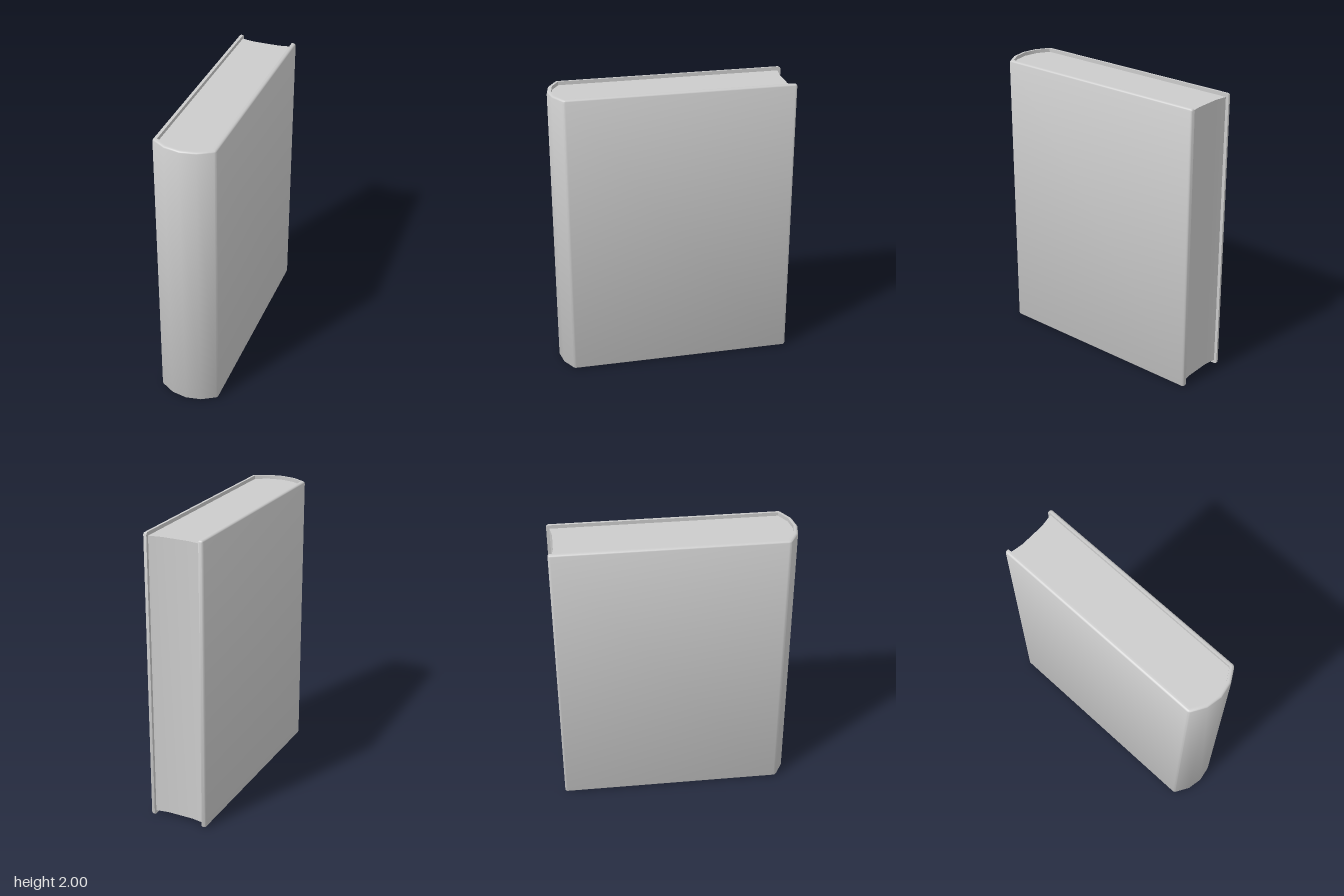
import * as THREE from 'three';
import { toCreasedNormals } from 'three/addons/utils/BufferGeometryUtils.js';

const HEIGHT = 2, BACK = -0.816;
const HALF = 0.18;                 // half thickness of the page block
const THICK = 0.029, ROUND = 0.017; // cover board and its edge rounding
const ARC_R = 0.275, ARC_Z = 0.512, ARC_A = Math.asin(HALF / ARC_R);
const INSET = 0.025;               // pages sit below the cover edges
const CREASE = 0.7;

// Point on the rounded spine, with its outward direction
function spinePoint(a) {
  const nx = Math.sin(a), nz = Math.cos(a);
  return { x: ARC_R * nx, z: ARC_Z + ARC_R * nz, nx, nz, rho: ROUND };
}

// Stations along the U of the cover: left board, spine, right board
function coverStations() {
  const half = [];
  const steps = 4;
  // rounded fore edge of the board
  for (let i = 0; i <= steps; i++) {
    const a = (1 - i / steps) * Math.PI / 2;
    half.push({ x: HALF, z: BACK + ROUND * (1 - Math.sin(a)), nx: 1, nz: 0, rho: ROUND * Math.cos(a) });
  }
  // rounded joint between board and spine
  const corner = spinePoint(ARC_A);
  for (let i = 0; i < steps; i++) {
    const a = THREE.MathUtils.lerp(Math.PI / 2, ARC_A, i / steps);
    half.push({ ...corner, nx: Math.sin(a), nz: Math.cos(a) });
  }
  half.push(corner, spinePoint(ARC_A / 2));
  const mirrored = half.map(s => ({ ...s, x: -s.x, nx: -s.nx })).reverse();
  return [...half, spinePoint(0), ...mirrored];
}

// Board cross-section: square inside, rounded outside
function boardSection(rho) {
  const ring = [[0, ROUND - rho]], steps = 4;
  for (const top of [0, 1]) {
    for (let i = 0; i <= steps; i++) {
      const a = ((top ? 0 : -1) + i / steps) * Math.PI / 2;
      const cy = top ? HEIGHT - ROUND : ROUND;
      ring.push([THICK - ROUND + rho * Math.cos(a), cy + rho * Math.sin(a)]);
    }
  }
  ring.push([0, HEIGHT - ROUND + rho]);
  return ring;
}

function coverGeometry() {
  const stations = coverStations(), pos = [], idx = [];
  const m = boardSection(ROUND).length, last = (stations.length - 1) * m;
  stations.forEach((s, i) => {
    for (const [d, y] of boardSection(s.rho)) pos.push(s.x + s.nx * d, y, s.z + s.nz * d);
    if (i === stations.length - 1) return;
    for (let j = 0; j < m; j++) {
      const a = i * m + j, b = i * m + (j + 1) % m;
      idx.push(a, b, b + m, a, b + m, a + m);
    }
  });
  // flat end faces at the fore edges
  for (let j = 1; j < m - 1; j++) {
    idx.push(0, j + 1, j, last, last + j, last + j + 1);
  }
  const geo = new THREE.BufferGeometry();
  geo.setAttribute('position', new THREE.Float32BufferAttribute(pos, 3));
  geo.setIndex(idx);
  return toCreasedNormals(geo, CREASE);
}

// Page block: rounded at the spine, hollowed at the fore edge
function pagesGeometry() {
  const outline = [[-HALF, -0.795], [-0.09, -0.78], [0.09, -0.78], [HALF, -0.795]]
    .map(([x, z]) => new THREE.Vector2(x, z));
  for (let i = 0; i <= 4; i++) {
    const p = spinePoint(ARC_A * (1 - i / 2));
    outline.push(new THREE.Vector2(p.x, p.z));
  }
  const geo = new THREE.ExtrudeGeometry(new THREE.Shape(outline), {
    depth: HEIGHT - 2 * INSET, bevelEnabled: false,
  });
  geo.rotateX(Math.PI / 2).translate(0, HEIGHT - INSET, 0);
  return toCreasedNormals(geo, CREASE);
}

export function createModel() {
  const book = new THREE.Group();
  book.name = 'book';
  const material = new THREE.MeshStandardMaterial({ color: 0xcccccc });
  const add = (name, geometry) => {
    const mesh = new THREE.Mesh(geometry, material);
    mesh.name = name;
    book.add(mesh);
  };
  add('cover', coverGeometry());
  add('pages', pagesGeometry());
  return book;
}
